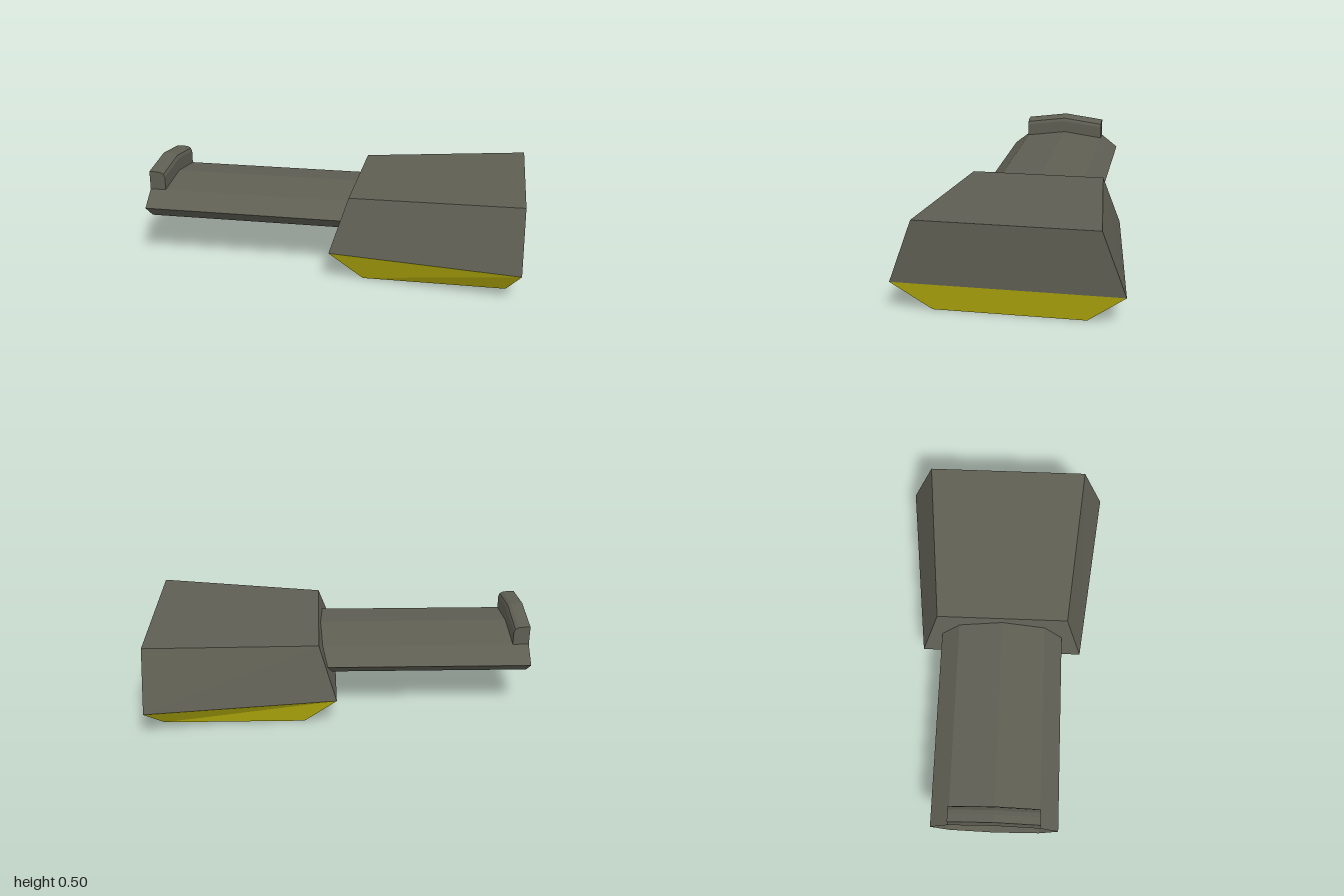
import * as THREE from 'three';

const grey = new THREE.MeshStandardMaterial({ name: 'darkGrey', color: 0x5f5e53, flatShading: true });
const greyOpen = new THREE.MeshStandardMaterial({ name: 'darkGreyOpen', color: 0x5f5e53, flatShading: true, side: THREE.DoubleSide });
const yellow = new THREE.MeshStandardMaterial({ name: 'yellow', color: 0xc8c010, flatShading: true });

// Tapered block between two levels; each end is [x, y, half width], inner end first
function taperedBlock(bottom, top) {
  const ring = ([[x0, y0, w0], [x1, y1, w1]]) => [[x0, y0, w0], [x1, y1, w1], [x1, y1, -w1], [x0, y0, -w0]];
  const b = ring(bottom), t = ring(top), pos = [];
  const quad = (p, q, r, s) => pos.push(...p, ...q, ...r, ...p, ...r, ...s);
  for (let i = 0; i < 4; i++) {
    const j = (i + 1) % 4;
    quad(b[i], b[j], t[j], t[i]);
  }
  quad(...t);
  quad(b[3], b[2], b[1], b[0]);
  const geo = new THREE.BufferGeometry();
  geo.setAttribute('position', new THREE.Float32BufferAttribute(pos, 3));
  geo.computeVertexNormals();
  return geo;
}

export function createModel() {
  const model = new THREE.Group();
  model.name = 'turret';
  const add = (name, geo, mat) => {
    const mesh = new THREE.Mesh(geo, mat);
    mesh.name = name;
    model.add(mesh);
  };

  // Housing and the base below it share the widest outline
  const rim = [[0.02, 0.16, 0.44], [1, 0.16, 0.555]];
  add('housing', taperedBlock(rim, [[0.11, 0.437, 0.353], [1, 0.475, 0.438]]), grey);
  add('base', taperedBlock([[0.19, 0, 0.37], [0.93, 0, 0.37]], rim), yellow);

  // Flattened eight-sided barrel, open at the muzzle
  const barrel = new THREE.CylinderGeometry(1, 1, 1.25, 8, 1, true).rotateZ(Math.PI / 2);
  barrel.scale(1, 0.108, 0.33).translate(-0.375, 0.298, 0);
  const flatBarrel = barrel.toNonIndexed();
  flatBarrel.computeVertexNormals();
  add('barrel', flatBarrel, greyOpen);

  // Muzzle ridge with a rounded inner corner, raised in the middle to follow the barrel
  const half = 0.234;
  const profile = new THREE.Shape([
    [-1, 0.374], [-0.915, 0.374], [-0.915, 0.444], [-0.922, 0.462],
    [-0.938, 0.471], [-0.96, 0.474], [-1, 0.474],
  ].map(([x, y]) => new THREE.Vector2(x, y)));
  const ridge = new THREE.ExtrudeGeometry(profile, { depth: half * 2, steps: 2, bevelEnabled: false });
  ridge.translate(0, 0, -half);
  const p = ridge.attributes.position;
  for (let i = 0; i < p.count; i++) p.setY(i, p.getY(i) + 0.031 * (1 - Math.abs(p.getZ(i)) / half));
  ridge.computeVertexNormals();
  add('muzzleRidge', ridge, grey);

  return model;
}
